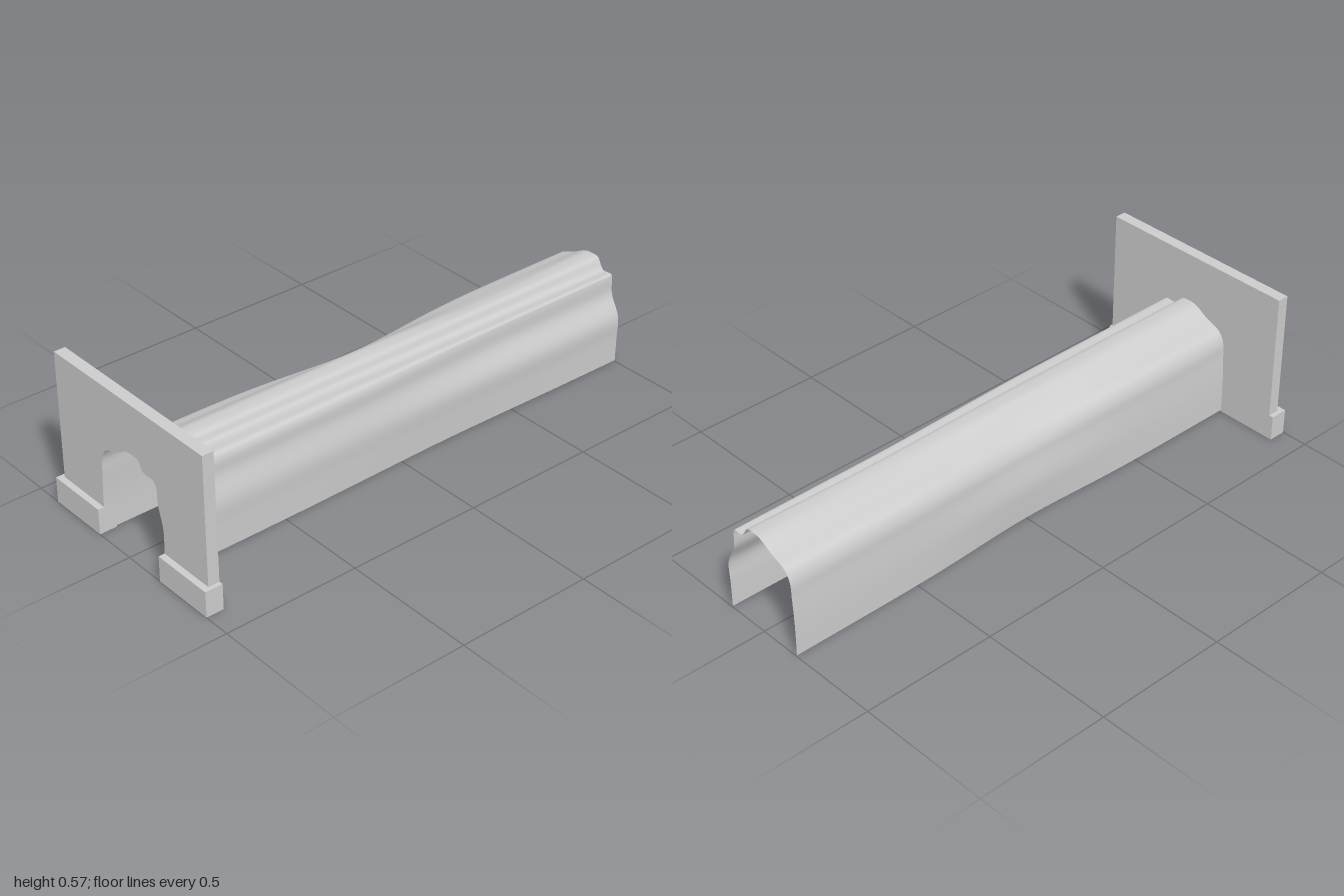
import * as THREE from 'three';

const grey = () => new THREE.MeshStandardMaterial({ color: 0xcccccc, side: THREE.DoubleSide });

// Rough arch, from the foot on -x over the crown to the foot on +x: x, y at the
// mouth, then x, y where the rock presses furthest inwards.
const ARCH = [
  [-0.163, 0.005, -0.143, 0.005], [-0.163, 0.07, -0.148, 0.07],
  [-0.162, 0.14, -0.151, 0.14], [-0.157, 0.227, -0.138, 0.227],
  [-0.152, 0.287, -0.131, 0.270], [-0.130, 0.324, -0.108, 0.307],
  [-0.070, 0.350, -0.065, 0.338], [-0.015, 0.380, -0.012, 0.370],
  [0.015, 0.384, 0.015, 0.376], [0.050, 0.379, 0.046, 0.374],
  [0.068, 0.351, 0.064, 0.345], [0.085, 0.346, 0.080, 0.338],
  [0.126, 0.345, 0.117, 0.338], [0.138, 0.325, 0.122, 0.322],
  [0.141, 0.270, 0.126, 0.265], [0.163, 0.184, 0.158, 0.184],
  [0.162, 0.10, 0.155, 0.10], [0.161, 0.005, 0.150, 0.005],
];
const Z_BACK = -1, Z_WALL = 0.935;
const bell = (z, mid, width) => Math.exp(-(((z - mid) / width) ** 2));

// How far each region of the arch is pressed in at depth z
function pressure(i, z) {
  if (i < 7) return bell(z, 0, 0.32);
  if (i < 11) return bell(z, -0.5, 0.35);
  if (i < 15) return 1 - THREE.MathUtils.smoothstep(z, -0.5, 0.3);
  return bell(z, -0.2, 0.45);
}

function section(z, count) {
  const points = ARCH.map(([x, y, u, v], i) => {
    const t = pressure(i, z);
    return new THREE.Vector3(x + (u - x) * t, y + (v - y) * t, z);
  });
  return new THREE.CatmullRomCurve3(points, false, 'centripetal').getPoints(count);
}

// Thin shell lofted through the sections
function tunnelGeometry(across, along) {
  const positions = [], index = [];
  for (let j = 0; j <= along; j++) {
    const z = THREE.MathUtils.lerp(Z_WALL, Z_BACK, j / along);
    section(z, across).forEach((p) => positions.push(p.x, p.y, p.z));
  }
  const row = across + 1;
  for (let j = 0; j < along; j++) {
    for (let i = 0; i < across; i++) {
      const a = j * row + i, b = a + row;
      index.push(a, a + 1, b, a + 1, b + 1, b);
    }
  }
  const geometry = new THREE.BufferGeometry();
  geometry.setAttribute('position', new THREE.Float32BufferAttribute(positions, 3));
  geometry.setIndex(index);
  geometry.computeVertexNormals();
  return geometry;
}

export function createModel() {
  const model = new THREE.Group();
  const add = (name, geometry, x = 0, y = 0, z = 0) => {
    const mesh = new THREE.Mesh(geometry, grey());
    mesh.name = name;
    mesh.position.set(x, y, z);
    model.add(mesh);
  };

  add('tunnelShell', tunnelGeometry(102, 40));

  // Portal wall with the arch cut out of its lower edge
  const base = 0.095;
  const wall = new THREE.Shape();
  wall.moveTo(-0.163, base);
  section(Z_WALL, 102).filter((p) => p.y > base + 0.005).forEach((p) => wall.lineTo(p.x, p.y));
  wall.lineTo(0.162, base);
  wall.lineTo(0.384, base);
  wall.lineTo(0.384, 0.567);
  wall.lineTo(-0.384, 0.567);
  wall.lineTo(-0.384, base);
  wall.closePath();
  add('portalWall', new THREE.ExtrudeGeometry(wall, { depth: 0.042, bevelEnabled: false }), 0, 0, Z_WALL);

  // Plinth on each side of the opening
  for (const [side, name] of [[1, 'leftPlinth'], [-1, 'rightPlinth']]) {
    add(name, new THREE.BoxGeometry(0.238, base, 1 - Z_WALL), side * 0.281, base / 2, (1 + Z_WALL) / 2);
  }
  return model;
}
